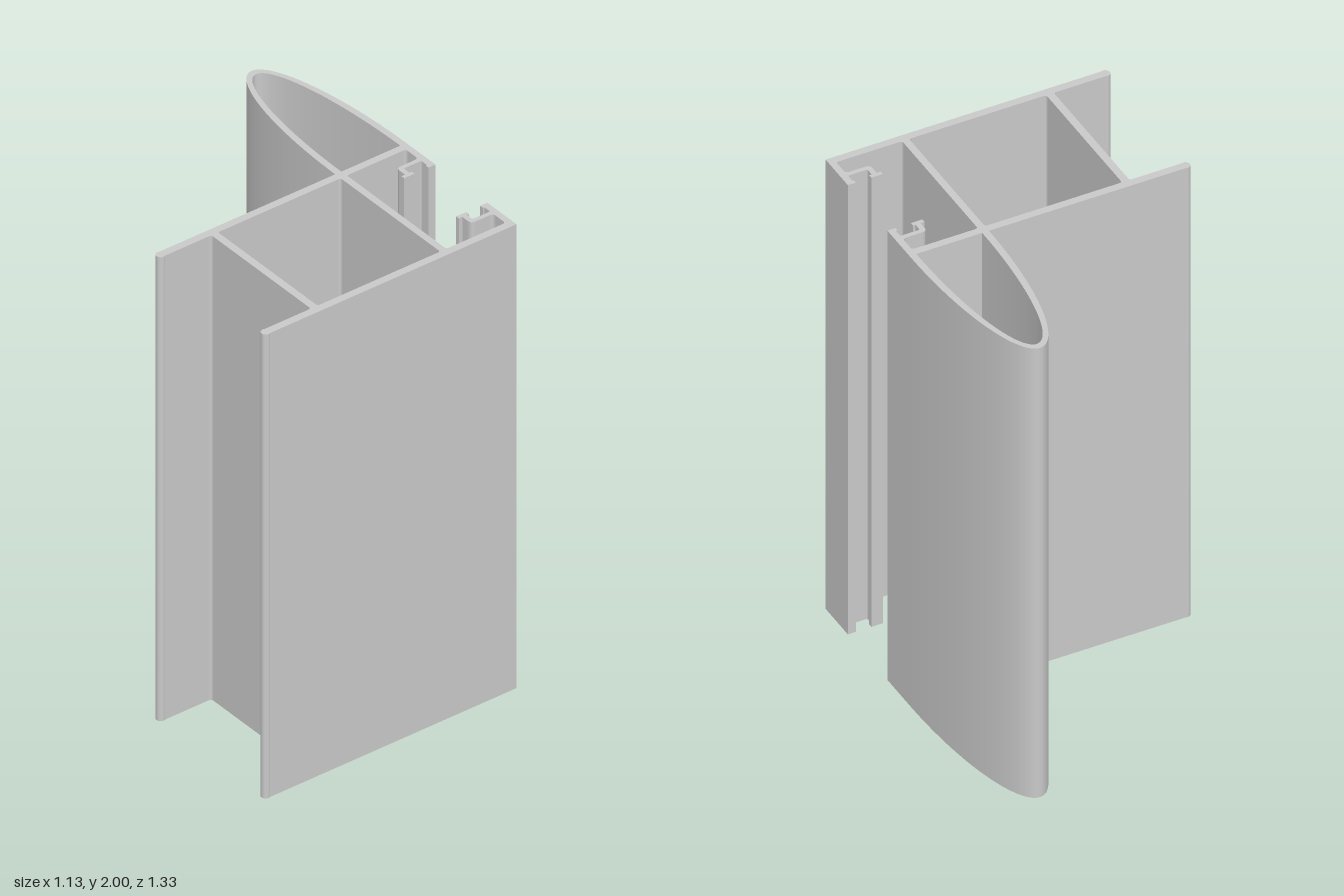
import * as THREE from 'three';

const HEIGHT = 2;
const MID_Z = 0.344; // the plates and hooks mirror about this line

// Traces [x, z, cornerRadius] points into a path, rounding marked corners.
function trace(path, points) {
  const n = points.length;
  const along = (p, q, d) => {
    const t = d / Math.hypot(q[0] - p[0], q[1] - p[1]);
    return [p[0] + (q[0] - p[0]) * t, -(p[1] + (q[1] - p[1]) * t)];
  };
  points.forEach((p, i) => {
    const r = p[2] || 0;
    const a = r ? along(p, points[(i + n - 1) % n], r) : [p[0], -p[1]];
    if (i === 0) path.moveTo(...a);
    else path.lineTo(...a);
    if (r) path.quadraticCurveTo(p[0], -p[1], ...along(p, points[(i + 1) % n], r));
  });
  path.closePath();
  return path;
}

// Half ellipse pointing to -z, from its left end to its right end.
function arch(halfWidth, depth, baseZ, steps = 80) {
  const pts = [];
  for (let i = 0; i <= steps; i++) {
    const t = Math.PI * (1 - i / steps);
    pts.push([0.406 + halfWidth * Math.cos(t), baseZ - depth * Math.sin(t)]);
  }
  return pts;
}

// Round bead on the free left edge of a plate.
function bead() {
  const pts = [];
  for (let i = 0; i <= 20; i++) {
    const t = 1.1 + (i / 20) * (2 * Math.PI - 2.2);
    pts.push([-0.547 + 0.018 * Math.cos(t), 0.04 + 0.018 * Math.sin(t)]);
  }
  return pts;
}

// Outline of one plate with its bead, right wall and hooked lip.
function plateOutline(outerEdge) {
  return [
    [-0.332, 0.056, 0.012],
    ...bead(),
    ...outerEdge,
    [0.565, 0.194], [0.533, 0.194], [0.533, 0.178], [0.539, 0.178],
    [0.539, 0.145, 0.006], [0.461, 0.145, 0.008],
    [0.461, 0.178], [0.471, 0.178], [0.471, 0.194],
    [0.425, 0.194], [0.425, 0.178], [0.441, 0.178],
    [0.441, 0.127, 0.02], [0.539, 0.127, 0.016],
    [0.539, 0.056, 0.012], [0.275, 0.056, 0.012],
  ];
}

export function createModel() {
  const group = new THREE.Group();
  group.name = 'framingProfile';
  const aluminium = new THREE.MeshStandardMaterial({ color: 0xc8c8c8 });
  aluminium.name = 'aluminium';

  // Back plate carries the arched fin; the front plate is its plain mirror.
  const back = plateOutline(arch(0.159, 0.69, 0.025));
  const front = plateOutline([[0.565, 0.025]])
    .map(([x, z, r]) => [x, 2 * MID_Z - z, r])
    .reverse();
  const section = trace(new THREE.Shape(), [...back, ...front]);

  // Hollow of the fin and the closed chamber between the two webs,
  // wound against the outline so their walls face inwards
  section.holes.push(
    trace(new THREE.Path(), arch(0.132, 0.664, 0.025).reverse()),
    trace(new THREE.Path(), [
      [-0.302, 0.632, 0.012], [0.247, 0.632, 0.012],
      [0.247, 0.056, 0.012], [-0.302, 0.056, 0.012],
    ])
  );

  const extrusion = new THREE.ExtrudeGeometry(section, {
    depth: HEIGHT, bevelEnabled: false, curveSegments: 8,
  });
  extrusion.rotateX(-Math.PI / 2);
  const profile = new THREE.Mesh(extrusion, aluminium);
  profile.name = 'extrudedProfile';
  group.add(profile);
  return group;
}
